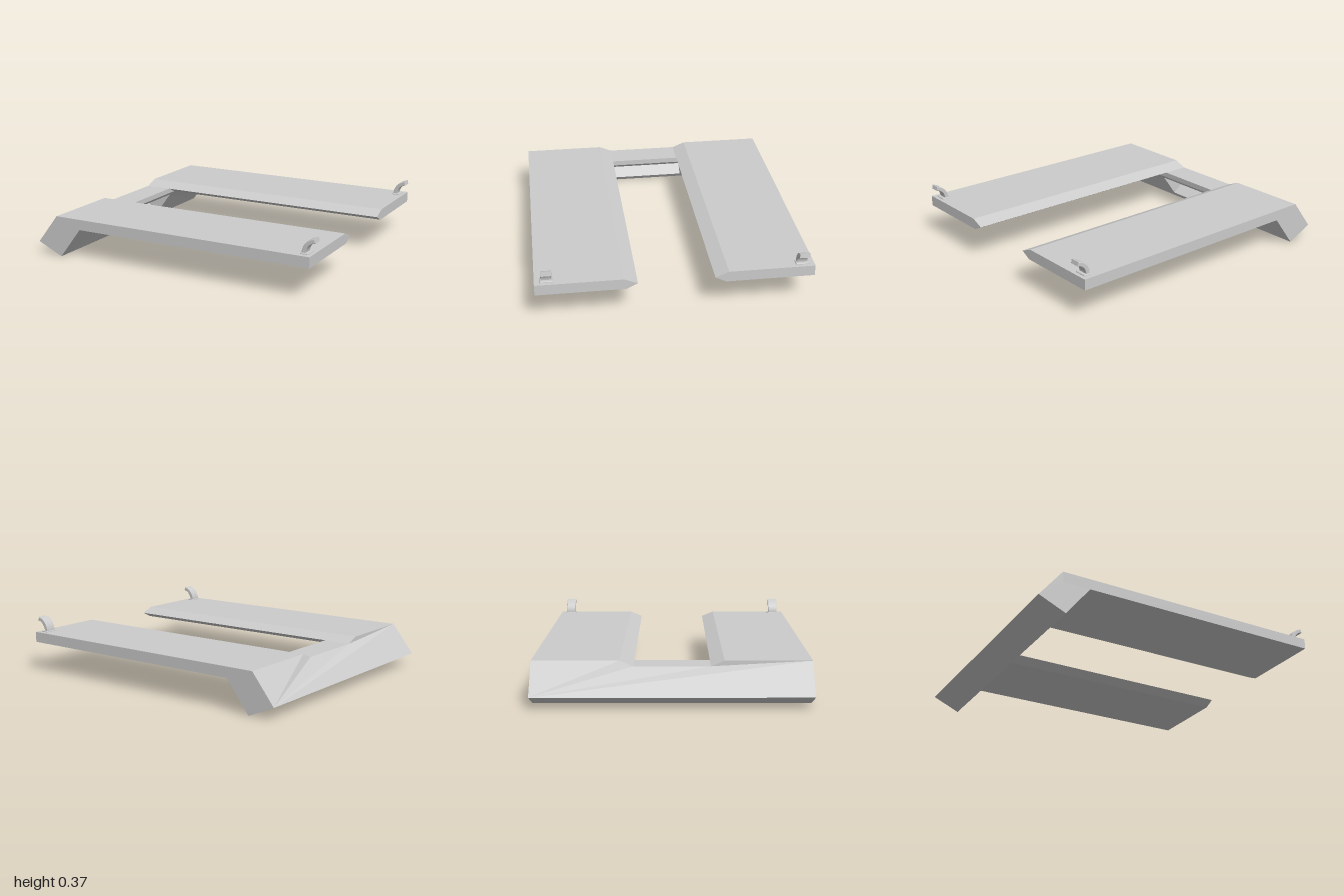
import * as THREE from 'three';
import { RoundedBoxGeometry } from 'three/addons/geometries/RoundedBoxGeometry.js';

const W = 0.87; // half depth of the whole frame
const GRIP = 0.29; // half length of the finger recess
const solid = new THREE.MeshStandardMaterial({ color: 0xcccccc });
const shell = new THREE.MeshStandardMaterial({ color: 0xcccccc, side: THREE.DoubleSide });

const shapeOf = (pts) => new THREE.Shape(pts.map(([x, y]) => new THREE.Vector2(x, y)));

function add(group, name, geometry, material = solid) {
  const mesh = new THREE.Mesh(geometry, material);
  mesh.name = name;
  group.add(mesh);
  return mesh;
}

// Height of a crossbar edge along z: `outer` behind the arms, 0.24 in the gap
function edgeHeight(z, outer, zOuter) {
  const t = THREE.MathUtils.clamp((Math.abs(z) - 0.24) / (zOuter - 0.24), 0, 1);
  return 0.24 + (outer - 0.24) * t;
}

// Upright face drawn in (z, y), then leaned over by the rule x(z, y)
function leaningFace(shape, rule, sign) {
  const g = new THREE.ShapeGeometry(shape).toNonIndexed();
  const p = g.attributes.position;
  for (let i = 0; i < p.count; i++) {
    const z = -sign * p.getX(i), y = p.getY(i);
    p.setXYZ(i, rule(z, y), y, z);
  }
  g.computeVertexNormals();
  return g;
}

// Band following a profile in x, y, from z = -half to +half; faces left of the path
function band(pts, half) {
  const pos = [], index = [];
  pts.forEach(([x, y], i) => {
    pos.push(x, y, half, x, y, -half);
    if (i) {
      const a = 2 * i - 2;
      index.push(a, a + 2, a + 1, a + 1, a + 2, a + 3);
    }
  });
  const g = new THREE.BufferGeometry();
  g.setAttribute('position', new THREE.Float32BufferAttribute(pos, 3));
  g.setIndex(index);
  g.computeVertexNormals();
  return g;
}

function faceOutline(bottom, outer, zOuter) {
  return shapeOf([
    [-W, bottom], [W, bottom], [W, outer], [zOuter, outer], [0.24, 0.24],
    [-0.24, 0.24], [-zOuter, outer], [-W, outer],
  ]);
}

function createCrossbar() {
  const bar = new THREE.Group();
  bar.name = 'crossbar';
  const innerX = (z, y) => -0.82 + 0.16 * y / edgeHeight(z, 0.205, 0.31);
  const outerX = (z, y) => -1 + 0.155 * (y - 0.08) / (edgeHeight(z, 0.275, 0.325) - 0.08);

  // Inner slope with the recess opening
  const inner = faceOutline(0, 0.205, 0.31);
  inner.holes.push(shapeOf([[-GRIP, 0.03], [-GRIP, 0.18], [GRIP, 0.18], [GRIP, 0.03]]));
  add(bar, 'innerSlope', leaningFace(inner, innerX, 1), shell);
  add(bar, 'outerSlope', leaningFace(faceOutline(0.08, 0.275, 0.325), outerX, -1), shell);
  add(bar, 'underside', band([[-0.82, 0], [-1, 0.08]], W), shell);
  add(bar, 'bridgeTop', band([[-0.845, 0.24], [-0.66, 0.24]], 0.24), shell);

  // End walls
  const end = shapeOf([[-1, 0.08], [-0.82, 0], [-0.66, 0.205], [-0.845, 0.205], [-0.845, 0.275]]);
  for (const s of [1, -1]) add(bar, 'endWall', new THREE.ShapeGeometry(end), shell).position.z = s * W;

  // Finger recess: flat floor and a quarter-ellipse roof
  const low = [innerX(GRIP, 0.03), 0.03], high = [innerX(GRIP, 0.18), 0.18];
  const depth = [-0.077, 0.06];
  const roof = [];
  for (let i = 0; i <= 16; i++) {
    const a = (i / 16) * Math.PI / 2, c = Math.cos(a), s = Math.sin(a);
    roof.push([0, 1].map((k) => low[k] + (high[k] - low[k]) * c + depth[k] * s));
  }
  add(bar, 'recessRoof', band(roof, GRIP), shell);
  add(bar, 'recessFloor', band([roof[16], low], GRIP), shell);
  const cheek = new THREE.ShapeGeometry(shapeOf([low, ...roof]));
  for (const s of [1, -1]) add(bar, 'recessCheek', cheek, shell).position.z = s * GRIP;
  return bar;
}

// Long flat arm with a pointed inner edge
function createArm(s) {
  const section = [[W, 0.275], [0.325, 0.275], [0.24, 0.24], [0.31, 0.205], [W, 0.205]];
  const g = new THREE.ExtrudeGeometry(shapeOf(section.map(([z, y]) => [-s * z, y])), {
    depth: 1.835, bevelEnabled: false,
  });
  g.rotateY(Math.PI / 2).translate(-0.845, 0, 0);
  return g;
}

// Curved tab on a small foot plate
function createHook() {
  const hook = new THREE.Group();
  hook.name = 'hook';
  const shape = new THREE.Shape();
  const end = THREE.MathUtils.degToRad(101);
  shape.absarc(1.016, 0.278, 0.093, Math.PI, end, true);
  shape.absarc(1.016, 0.278, 0.074, end, Math.PI, false);
  const tab = new THREE.ExtrudeGeometry(shape, {
    depth: 0.06, bevelThickness: 0.004, bevelSize: 0.004, bevelSegments: 2, curveSegments: 16,
  });
  add(hook, 'hookTab', tab.translate(0, 0, -0.03));
  add(hook, 'hookFoot', new RoundedBoxGeometry(0.052, 0.014, 0.084, 2, 0.006)).position.set(0.94, 0.276, 0);
  return hook;
}

export function createModel() {
  const model = new THREE.Group();
  model.name = 'frame';
  model.add(createCrossbar());
  for (const s of [1, -1]) {
    add(model, s > 0 ? 'frontArm' : 'backArm', createArm(s));
    const hook = createHook();
    hook.position.z = s * 0.795;
    model.add(hook);
  }
  return model;
}
